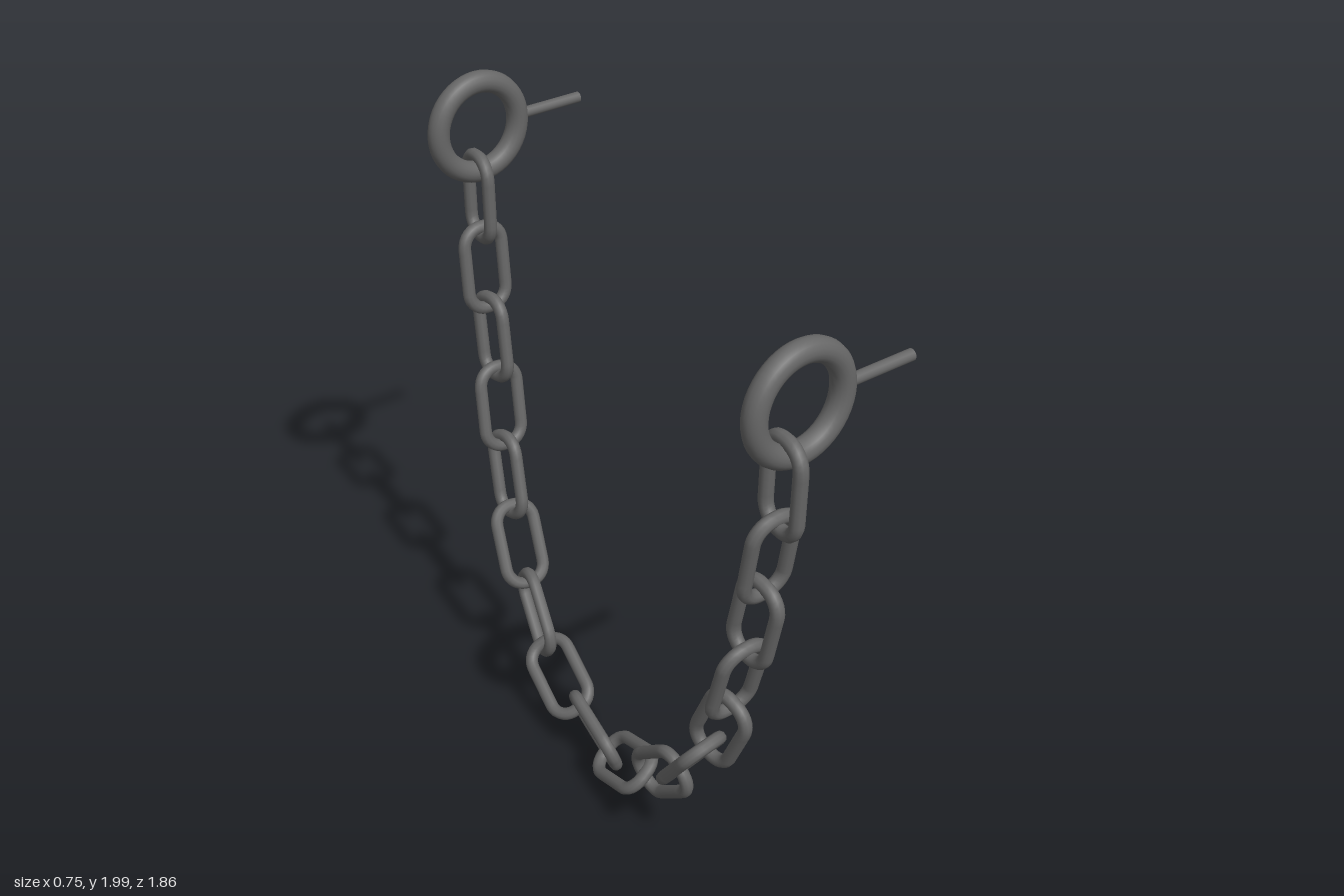
import * as THREE from 'three';

const metal = new THREE.MeshStandardMaterial({ color: 0x666666 });

// Link wire: a rounded rectangle, long along y, wide along x
function linkGeometry(halfW, halfL, corner, wire) {
  const w = halfW - wire, l = halfL - wire, a = w - corner, b = l - corner;
  const outline = new THREE.Shape();
  outline.moveTo(w, -b);
  outline.lineTo(w, b);
  outline.absarc(a, b, corner, 0, Math.PI / 2);
  outline.lineTo(-a, l);
  outline.absarc(-a, b, corner, Math.PI / 2, Math.PI);
  outline.lineTo(-w, -b);
  outline.absarc(-a, -b, corner, Math.PI, Math.PI * 1.5);
  outline.lineTo(a, -l);
  outline.absarc(a, -b, corner, Math.PI * 1.5, Math.PI * 2);
  const points = outline.getSpacedPoints(40).slice(0, -1)
    .map(p => new THREE.Vector3(p.x, p.y, 0));
  return new THREE.TubeGeometry(new THREE.CatmullRomCurve3(points, true), 56, wire, 10, true);
}

// Links from the front ring to the back ring: centre x, y, z, roll about the chain, extra upward slope
const LINKS = [
  [-0.246, 1.532, 0.844, 0.12, 0], [-0.245, 1.3, 0.804, 0, 0], [-0.242, 1.071, 0.759, 0, 0],
  [-0.245, 0.842, 0.701, 0, 0], [-0.242, 0.627, 0.635, -0.1, 0], [-0.244, 0.431, 0.513, -0.1, 0],
  [-0.229, 0.262, 0.362, -0.1, 0], [-0.212, 0.146, 0.159, -0.6, 0], [-0.168, 0.106, -0.053, -0.4, 0.18],
  [-0.148, 0.174, -0.272, -0.7, 0], [-0.1, 0.294, -0.462, -0.15, 0], [-0.067, 0.481, -0.593, -0.05, 0],
  [-0.045, 0.696, -0.68, 0, 0], [-0.019, 0.918, -0.74, 0, 0], [-0.008, 1.146, -0.783, 0, 0],
  [0, 1.373, -0.82, 0, 0], [0.006, 1.6, -0.841, -0.13, 0],
];

// End ring facing z, with its pin pointing to +x
function ringWithPin(name, x, y, z) {
  const group = new THREE.Group();
  group.name = name;
  group.position.set(x, y, z);
  const ring = new THREE.Mesh(new THREE.TorusGeometry(0.139, 0.033, 16, 48), metal);
  ring.name = 'ring';
  const pin = new THREE.Mesh(new THREE.CylinderGeometry(0.0165, 0.0165, 0.226, 16), metal);
  pin.name = 'pin';
  pin.rotation.z = Math.PI / 2;
  pin.position.set(0.253, 0.004, 0);
  group.add(ring, pin);
  return group;
}

export function createModel() {
  const model = new THREE.Group();
  model.name = 'hangingChain';
  model.add(ringWithPin('frontRing', -0.205, 1.746, 0.842));
  model.add(ringWithPin('backRing', 0.012, 1.826, -0.836));

  // Chain: each link follows its neighbours and is turned a quarter from the last
  const chain = new THREE.Group();
  chain.name = 'chain';
  const geometry = linkGeometry(0.087, 0.15, 0.058, 0.02);
  const centres = LINKS.map(([x, y, z]) => new THREE.Vector3(x, y, z));
  centres.forEach((centre, i) => {
    const [, , , roll, slope] = LINKS[i];
    const last = centres.length - 1;
    const along = i === 0 ? new THREE.Vector3(0, -1, -0.03)
      : i === last ? new THREE.Vector3(0.01, 1, -0.03)
      : centres[i + 1].clone().sub(centres[i - 1]);
    along.normalize();
    along.y += slope;
    along.normalize();
    const wide = new THREE.Vector3(1, 0, 0).addScaledVector(along, -along.x).normalize();
    wide.applyAxisAngle(along, roll + (i % 2 === 0 ? Math.PI / 2 : 0));
    const normal = wide.clone().cross(along);
    const link = new THREE.Mesh(geometry, metal);
    link.name = 'link' + (i + 1);
    link.quaternion.setFromRotationMatrix(new THREE.Matrix4().makeBasis(wide, along, normal));
    link.position.copy(centre);
    chain.add(link);
  });
  model.add(chain);
  return model;
}
